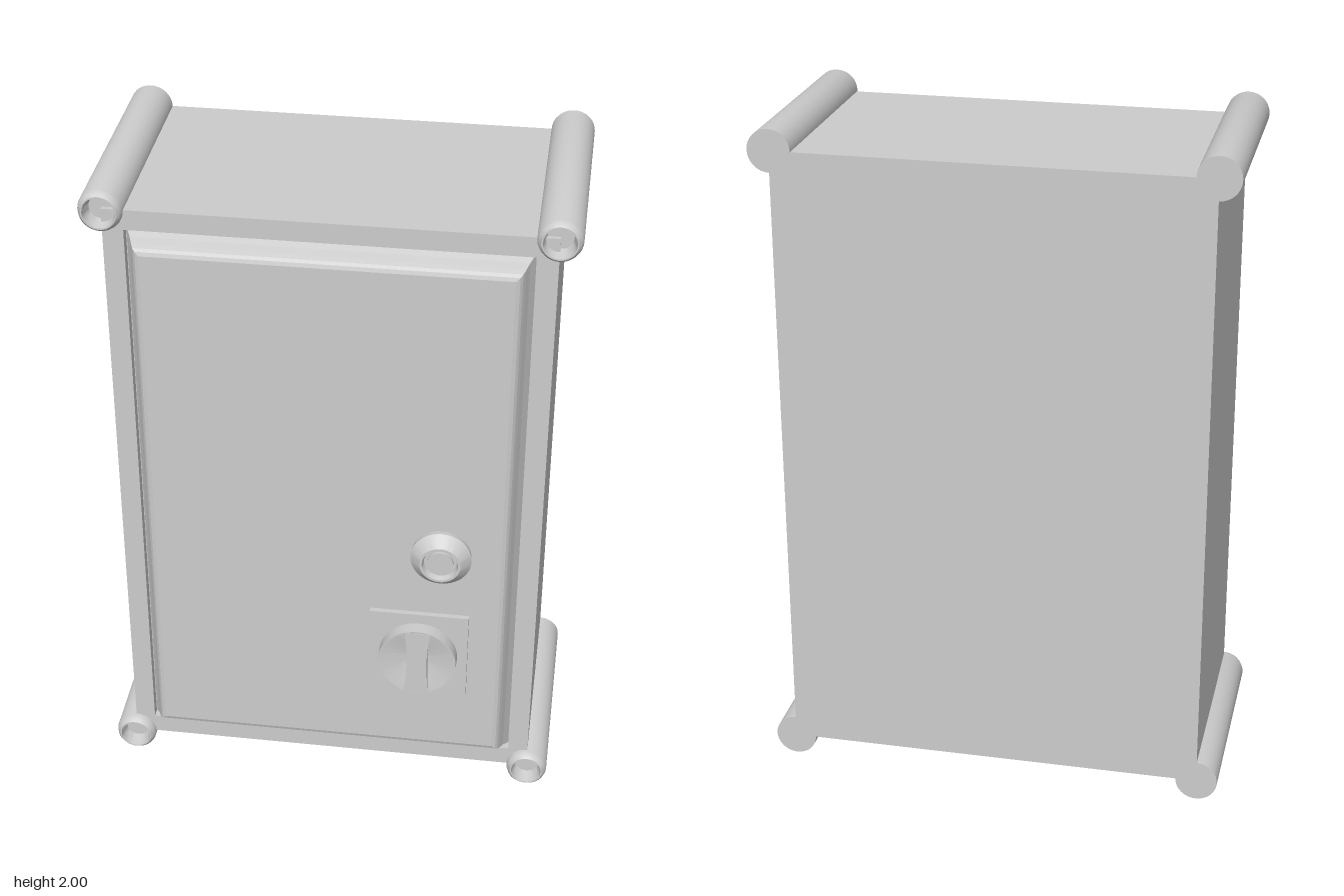
import * as THREE from 'three';
import { toCreasedNormals } from 'three/addons/utils/BufferGeometryUtils.js';

const grey = new THREE.MeshStandardMaterial({ color: 0xcccccc });

function part(name, geometry, x = 0, y = 0, z = 0) {
  const mesh = new THREE.Mesh(geometry, grey);
  mesh.name = name;
  mesh.position.set(x, y, z);
  return mesh;
}

// Solid of revolution whose axis points to the front; profile is [radius, z], back to front
function turned(profile, segments = 48) {
  const points = profile.map(([r, z]) => new THREE.Vector2(r, z));
  return toCreasedNormals(new THREE.LatheGeometry(points, segments).rotateX(Math.PI / 2), 0.5);
}

function rectangle(Type, hx, hy) {
  const r = new Type();
  r.moveTo(-hx, -hy).lineTo(hx, -hy).lineTo(hx, hy).lineTo(-hx, hy).closePath();
  return r;
}

// Panel with mitred corners, lofted through rectangles given as [inset, z]
function panel(hx, hy, sections) {
  const corners = [[-1, -1], [1, -1], [1, 1], [-1, 1]];
  const positions = [], index = [];
  sections.forEach(([inset, z], s) => {
    corners.forEach(([sx, sy], i) => {
      positions.push(sx * (hx - inset), sy * (hy - inset), z);
      if (s === 0) return;
      const a = (s - 1) * 4 + i, b = (s - 1) * 4 + (i + 1) % 4;
      index.push(a, b, b + 4, a, b + 4, a + 4);
    });
  });
  const last = (sections.length - 1) * 4;
  index.push(last, last + 1, last + 2, last, last + 2, last + 3);
  const geometry = new THREE.BufferGeometry();
  geometry.setAttribute('position', new THREE.Float32BufferAttribute(positions, 3));
  geometry.setIndex(index);
  const flat = geometry.toNonIndexed();
  flat.computeVertexNormals();
  return flat;
}

export function createModel() {
  const model = new THREE.Group();
  model.name = 'electricalCabinet';
  const hx = 0.625, hy = 0.9375, back = -0.39, recess = 0.25;

  // Housing with a raised frame round the door
  model.add(part('housing', new THREE.BoxGeometry(hx * 2, hy * 2, recess - back), 0, 1, (back + recess) / 2));
  const frame = rectangle(THREE.Shape, hx, hy);
  frame.holes.push(rectangle(THREE.Path, 0.565, 0.877));
  model.add(part('doorFrame', new THREE.ExtrudeGeometry(frame, { depth: 0.028, bevelEnabled: false }), 0, 1, recess));

  // Door with sloped, softened edges
  model.add(part('door', panel(0.563, 0.875, [
    [0, recess], [0.015, 0.28], [0.024, 0.305], [0.03, 0.318], [0.037, 0.326], [0.048, 0.33],
  ]), 0, 1, 0));

  // Corner posts with a chamfered, hollowed front end
  const post = turned([
    [0, back], [0.0625, back], [0.0625, 0.285], [0.058, 0.298], [0.05, 0.307],
    [0.046, 0.307], [0.043, 0.29], [0.036, 0.265], [0, 0.265],
  ], 32);
  for (const sx of [-1, 1])
    for (const sy of [-1, 1]) model.add(part('cornerPost', post, sx * hx, 1 + sy * hy, 0));

  // Door lock: flared collar with a sunken core
  model.add(part('lock', turned([
    [0.08, 0.328], [0.088, 0.335], [0.09, 0.352], [0.06, 0.385], [0.053, 0.385],
    [0.048, 0.368], [0.038, 0.368], [0.038, 0.376], [0, 0.376],
  ]), 0.34, 0.9, 0));

  // Rotary switch: plate, dished knob and waisted grip
  const cx = 0.28, cy = 0.53;
  model.add(part('switchPlate', new THREE.BoxGeometry(0.296, 0.3, 0.018), cx, cy, 0.337));
  model.add(part('switchKnob', turned([
    [0.118, 0.34], [0.118, 0.388], [0.111, 0.388], [0.035, 0.362], [0, 0.362],
  ]), cx, cy, 0));
  const grip = new THREE.Shape();
  grip.moveTo(-0.038, -0.108).quadraticCurveTo(0, -0.119, 0.038, -0.108)
    .quadraticCurveTo(0.022, 0, 0.038, 0.108)
    .quadraticCurveTo(0, 0.119, -0.038, 0.108)
    .quadraticCurveTo(-0.022, 0, -0.038, -0.108);
  model.add(part('switchGrip', toCreasedNormals(
    new THREE.ExtrudeGeometry(grip, { depth: 0.04, bevelEnabled: false }), 0.5), cx, cy, 0.35));

  return model;
}
